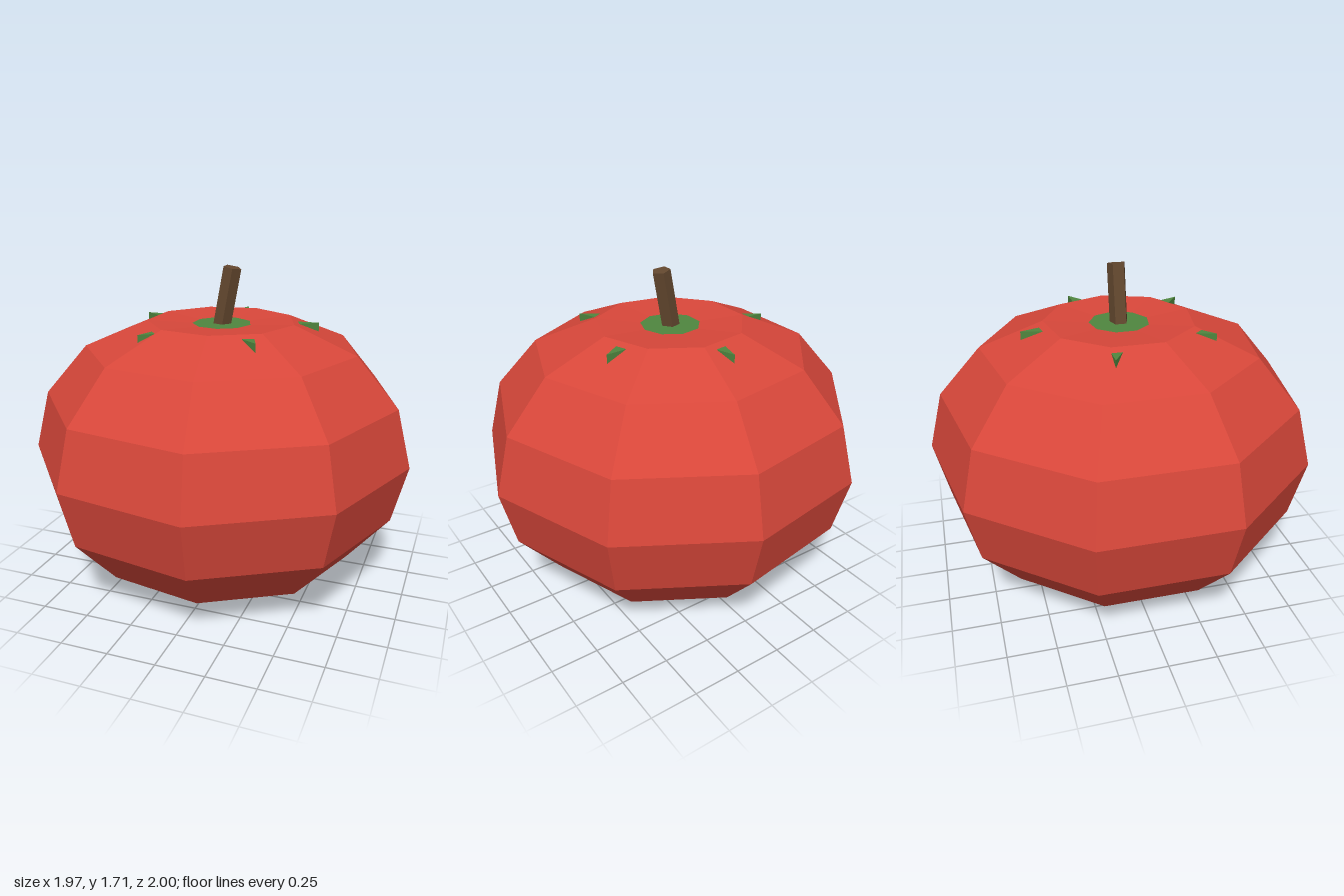
import * as THREE from 'three';

const paint = (color) => new THREE.MeshStandardMaterial({ color, flatShading: true });

function part(name, geometry, color) {
  const mesh = new THREE.Mesh(geometry, paint(color));
  mesh.name = name;
  return mesh;
}

export function createModel() {
  const model = new THREE.Group();
  model.name = 'tomato';
  const axisX = -0.03; // a nine-sided body is off-centre within its bounds

  // Body: nine-sided squashed ball with a shallow dimple on top
  const profile = [
    [0, 0], [0.389, 0.01], [0.718, 0.175], [0.938, 0.43], [1.015, 0.735],
    [0.938, 1.04], [0.718, 1.295], [0.389, 1.43], [0, 1.405],
  ].map(([r, y]) => new THREE.Vector2(r, y));
  const body = part('body', new THREE.LatheGeometry(profile, 9), 0xd8473a);
  body.rotation.y = Math.PI / 2;
  body.position.x = axisX;
  model.add(body);

  // Calyx: flat five-pointed star, sunk in the top so its middle and tips show
  const star = new THREE.Shape();
  for (let i = 0; i < 10; i++) {
    const r = i % 2 ? 0.18 : 0.507;
    const a = THREE.MathUtils.degToRad(52 + i * 36);
    star[i ? 'lineTo' : 'moveTo'](r * Math.cos(a), r * Math.sin(a));
  }
  star.closePath();
  const calyxGeometry = new THREE.ExtrudeGeometry(star, { depth: 0.05, bevelEnabled: false });
  calyxGeometry.rotateX(Math.PI / 2);
  const calyx = part('calyx', calyxGeometry, 0x4f863f);
  calyx.position.set(axisX, 1.415, 0);
  model.add(calyx);

  // Stem: five-sided, leaning to the left
  const stemGeometry = new THREE.CylinderGeometry(0.048, 0.048, 0.32, 5);
  stemGeometry.rotateY(Math.PI / 2);
  stemGeometry.translate(0, 0.16, 0);
  const stem = part('stem', stemGeometry, 0x64482f);
  stem.position.set(-0.033, 1.39, 0);
  stem.rotation.z = -0.19;
  model.add(stem);

  return model;
}
